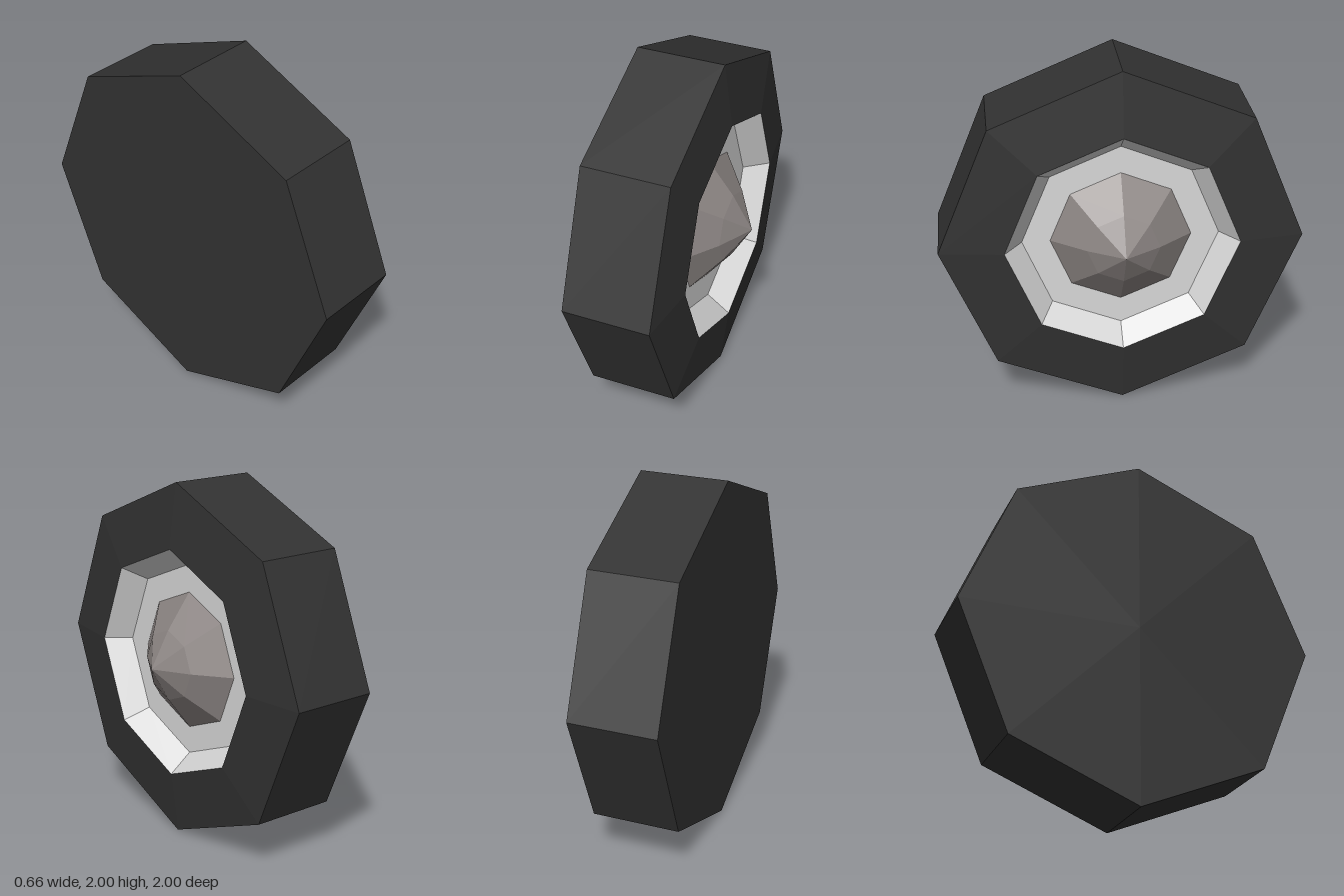
import * as THREE from 'three';

const SIDES = 8;

// Faceted ring swept around the x axle; profile points are [radius, x]
function turned(name, profile, material) {
  const points = profile.map(([r, x]) => new THREE.Vector2(r, x));
  const geometry = new THREE.LatheGeometry(points, SIDES).toNonIndexed();
  geometry.rotateZ(-Math.PI / 2);
  geometry.computeVertexNormals();
  const mesh = new THREE.Mesh(geometry, material);
  mesh.name = name;
  mesh.position.y = 1;
  return mesh;
}

export function createModel() {
  const rubber = new THREE.MeshStandardMaterial({ color: 0x323232 });
  rubber.name = 'black rubber';
  const paleMetal = new THREE.MeshStandardMaterial({ color: 0xd9d9d9 });
  paleMetal.name = 'pale metal';
  const greyMetal = new THREE.MeshStandardMaterial({ color: 0x8c8583 });
  greyMetal.name = 'grey metal';

  const wheel = new THREE.Group();
  wheel.name = 'wheel';
  wheel.add(
    // Flat back, tread and slightly sloped outer wall
    turned('tire', [[0, -0.33], [1, -0.33], [1, 0.155], [0.645, 0.2]], rubber),
    // Sunken dish
    turned('rim', [[0.645, 0.2], [0.545, 0.07], [0.39, 0.07]], paleMetal),
    // Two-step pointed cap
    turned('hubCap', [[0.39, 0.07], [0.2, 0.213], [0, 0.327]], greyMetal),
  );
  return wheel;
}
